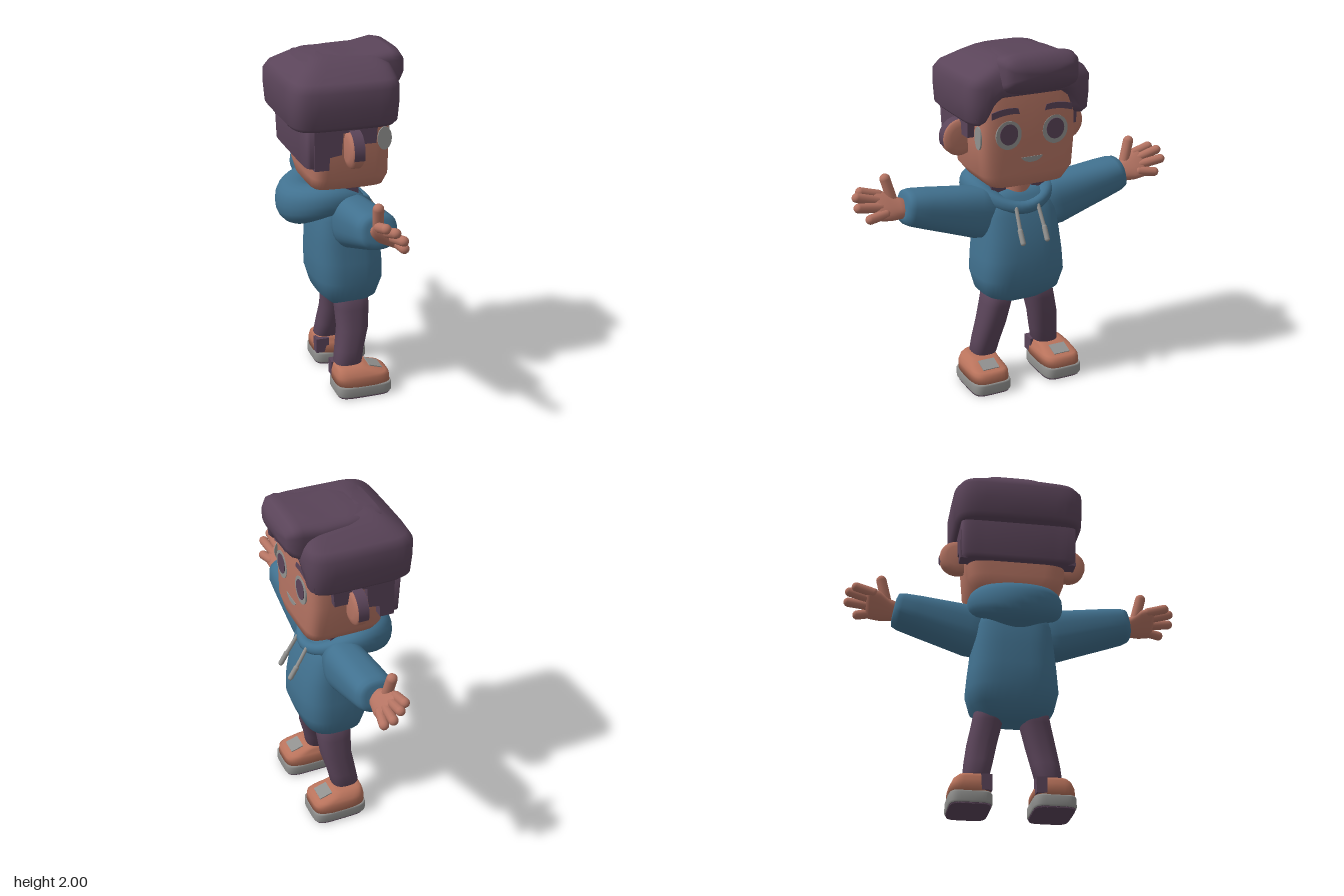
import * as THREE from 'three';

const mat = (name, color, side = THREE.FrontSide) => {
  const m = new THREE.MeshStandardMaterial({ color, side });
  m.name = name;
  return m;
};

// Skin over superellipse sections: each is [centre, halfVectorU, halfVectorV].
function loft(sections, n = 2, closed = false, seg = 40) {
  const v = (a) => new THREE.Vector3(...a);
  const S = sections.map((s) => s.map(v));
  const along = S[closed ? 1 : S.length - 1][0].clone().sub(S[0][0]);
  const flip = S[0][1].clone().cross(S[0][2]).dot(along) < 0 ? -1 : 1;
  const pow = (c) => Math.sign(c) * Math.abs(c) ** (2 / n);
  const pos = [], idx = [];
  for (const [c, u, w] of S) {
    for (let j = 0; j < seg; j++) {
      const t = (j / seg) * Math.PI * 2;
      const p = c.clone().addScaledVector(u, pow(Math.cos(t))).addScaledVector(w, flip * pow(Math.sin(t)));
      pos.push(p.x, p.y, p.z);
    }
  }
  const rows = S.length;
  for (let i = 0; i < (closed ? rows : rows - 1); i++) {
    for (let j = 0; j < seg; j++) {
      const k = (j + 1) % seg, a = i * seg, b = ((i + 1) % rows) * seg;
      idx.push(a + j, a + k, b + k, a + j, b + k, b + j);
    }
  }
  if (!closed) {
    const e = (rows - 1) * seg, c0 = rows * seg;
    for (const s of [S[0], S[rows - 1]]) pos.push(s[0].x, s[0].y, s[0].z);
    for (let j = 0; j < seg; j++) {
      const k = (j + 1) % seg;
      idx.push(c0, k, j, c0 + 1, e + j, e + k);
    }
  }
  const g = new THREE.BufferGeometry();
  g.setAttribute('position', new THREE.Float32BufferAttribute(pos, 3));
  g.setIndex(idx);
  g.computeVertexNormals();
  return g;
}

// Upright stack of sections: [y, halfWidth, zBack, zFront, xCentre].
const stack = (rows, n) => loft(rows.map(([y, hx, z0, z1, x = 0]) =>
  [[x, y, (z0 + z1) / 2], [hx, 0, 0], [0, 0, -(z1 - z0) / 2]]), n);

export function createModel() {
  const skin = mat('skin', 0xb57463);
  const shoe = mat('shoe coral', 0xb9735c);
  const plum = mat('plum', 0x5a4459);
  const blue = mat('hoodie blue', 0x41718f);
  const grey = mat('light grey', 0x929290);

  const body = new THREE.Group();
  body.name = 'character';
  const add = (name, geo, material, p = [0, 0, 0]) => {
    const m = new THREE.Mesh(geo, material);
    m.name = name;
    m.position.set(...p);
    body.add(m);
    return m;
  };
  const capsule = (name, a, b, r, material) => {
    const A = new THREE.Vector3(...a), B = new THREE.Vector3(...b);
    const d = B.clone().sub(A);
    const m = add(name, new THREE.CapsuleGeometry(r, d.length(), 5, 12), material);
    m.position.copy(A).add(B).multiplyScalar(0.5);
    m.quaternion.setFromUnitVectors(new THREE.Vector3(0, 1, 0), d.normalize());
  };
  const plate = (shape, depth = 0.008) => new THREE.ExtrudeGeometry(shape, { depth, bevelEnabled: false, curveSegments: 20 });
  const ellipse = (rx, ry) => new THREE.Shape().absellipse(0, 0, rx, ry, 0, Math.PI * 2);

  // Head and neck
  add('head', stack([[1.235, 0.19, -0.15, 0.19], [1.25, 0.225, -0.19, 0.225], [1.32, 0.28, -0.205, 0.24],
    [1.5, 0.295, -0.21, 0.24], [1.76, 0.29, -0.21, 0.24], [1.8, 0.25, -0.18, 0.21]], 6), skin);
  add('neck', new THREE.CylinderGeometry(0.08, 0.09, 0.2, 24), skin, [0, 1.17, 0.03]);

  // Hair cap, raised over the forehead
  const cap = stack([[1.62, 0.345, -0.32, 0.255], [1.645, 0.37, -0.34, 0.272], [1.74, 0.375, -0.348, 0.28],
    [1.83, 0.375, -0.348, 0.28], [1.875, 0.345, -0.32, 0.27], [1.93, 0.25, -0.24, 0.25],
    [1.965, 0.18, -0.18, 0.2], [1.97, 0.1, -0.1, 0.1]], 6);
  const cp = cap.attributes.position;
  for (let i = 0; i < cp.count; i++) {
    if (cp.getZ(i) < 0.15) continue;
    const lift = 1 - THREE.MathUtils.smoothstep(Math.abs(cp.getX(i)), 0.2, 0.31);
    const y = cp.getY(i);
    if (y < 1.83) cp.setY(i, y + (1.83 - y) * 0.72 * lift);
  }
  cap.computeVertexNormals();
  add('hairCap', cap, plum);

  // Swept quiff: [z, bottom, top, halfWidth]
  add('quiff', loft([[-0.26, 1.82, 1.9, 0.1], [-0.2, 1.78, 1.965, 0.18], [0, 1.77, 1.975, 0.21],
    [0.15, 1.77, 1.978, 0.22], [0.26, 1.775, 2, 0.225], [0.31, 1.8, 1.99, 0.215],
    [0.34, 1.84, 1.95, 0.18], [0.35, 1.87, 1.92, 0.1]].map(([z, b, t, hx]) =>
    [[0.025, (b + t) / 2, z], [hx, 0, 0], [0, (t - b) / 2, 0]]), 4.5), plum);

  // Hair below the cap
  add('backHair', stack([[1.4, 0.29, -0.24, -0.15], [1.415, 0.325, -0.265, -0.14],
    [1.68, 0.335, -0.275, -0.14]], 7), plum);
  const side = new THREE.Shape([[-0.22, 1.4], [-0.14, 1.4], [-0.135, 1.47], [-0.07, 1.48], [-0.06, 1.6],
    [0.04, 1.6], [0.05, 1.53], [0.125, 1.53], [0.135, 1.65], [0.24, 1.66], [0.24, 1.72], [-0.22, 1.72]]
    .map(([z, y]) => new THREE.Vector2(-z, y)));

  // Face
  const mouth = new THREE.Shape();
  mouth.moveTo(-0.065, 0.017).lineTo(0.065, 0.017);
  mouth.bezierCurveTo(0.045, -0.025, -0.045, -0.025, -0.065, 0.017);
  add('mouth', plate(mouth), grey, [0, 1.397, 0.235]);
  add('cheekPatch', plate(ellipse(0.04, 0.065)), grey, [-0.299, 1.54, 0.185]).rotation.y = Math.PI / 2;

  // Torso and hood
  add('hoodieBody', stack([[0.5, 0.1, -0.02, 0.1], [0.52, 0.165, -0.07, 0.14], [0.58, 0.235, -0.13, 0.21],
    [0.68, 0.26, -0.16, 0.243], [0.8, 0.25, -0.163, 0.24], [0.92, 0.237, -0.16, 0.222],
    [1.05, 0.225, -0.15, 0.185], [1.15, 0.2, -0.12, 0.14], [1.18, 0.12, -0.06, 0.09]], 3.2), blue);
  const hood = [];
  for (let i = 0; i < 40; i++) {
    const t = (i / 40) * Math.PI * 2, s = Math.sin(t), c = Math.cos(t);
    const r = 0.035 + 0.085 * ((1 - c) / 2) ** 1.3;
    hood.push([[0.2 * s, 1.105 - 0.015 * c + 0.07 * s * s, -0.03 + 0.195 * c], [r * s, 0, r * c], [0, r, 0]]);
  }
  add('hood', loft(hood, 2.3, true, 20), blue);

  for (const s of [-1, 1]) {
    // Ear with a hair-coloured rim
    add('ear', loft([[-0.045, 0.06], [-0.036, 0.09], [-0.02, 0.1], [0.02, 0.1], [0.033, 0.09], [0.04, 0.06]]
      .map(([z, r]) => [[s * 0.33, 1.505, z], [r, 0, 0], [0, r * 1.04, 0]])), skin);
    const rim = new THREE.CylinderGeometry(0.103, 0.103, 0.06, 20, 1, true, s > 0 ? 1.2 : Math.PI, 1.94);
    rim.rotateX(Math.PI / 2).scale(1, 1.04, 1);
    add('earRim', rim, plum, [s * 0.33, 1.505, 0]);
    add('sideHair', plate(side, 0.055), plum, [s * 0.305 - 0.0275, 0, 0]).rotation.y = Math.PI / 2;

    // Eye and brow
    add('eyeWhite', plate(ellipse(0.076, 0.08)), grey, [s * 0.14, 1.55, 0.234]);
    add('iris', plate(ellipse(0.053, 0.058)), plum, [s * 0.14, 1.555, 0.238]);
    const brow = new THREE.Shape();
    brow.moveTo(-0.08, -0.012).lineTo(-0.07, 0.02).quadraticCurveTo(0, 0.036, 0.085, 0.008);
    brow.lineTo(0.085, -0.028).quadraticCurveTo(0, 0, -0.08, -0.012);
    const b = plate(brow);
    if (s < 0) b.rotateY(Math.PI);
    add('brow', b, plum, [s * 0.155, 1.675, s > 0 ? 0.235 : 0.243]);

    // Shirt collar and drawstring
    add('collar', new THREE.BoxGeometry(0.09, 0.07, 0.12), plum, [s * 0.125, 1.195, 0.02]);
    capsule('drawstring', [s * 0.068, 1.1, 0.185], [s * 0.075, 0.98, 0.255], 0.011, grey);
    capsule('drawstringTip', [s * 0.075, 0.99, 0.25], [s * 0.075, 0.93, 0.285], 0.015, grey);

    // Sleeve: [x, y, half height, half depth]
    add('sleeve', loft([[0.14, 1.04, 0.14, 0.11], [0.25, 1.06, 0.145, 0.118], [0.4, 1.095, 0.127, 0.118],
      [0.55, 1.13, 0.11, 0.116], [0.64, 1.15, 0.098, 0.112], [0.672, 1.157, 0.088, 0.1], [0.68, 1.16, 0.06, 0.07]]
      .map(([x, y, h, d]) => [[s * x, y, 0.025], [0, 0, d], [-s * 0.2 * h, h, 0]]), 2.5), blue);

    // Hand, palm tilted forward
    add('palm', loft([[0.64, 1.145, 0.05, 0.045], [0.7, 1.155, 0.062, 0.04], [0.76, 1.175, 0.085, 0.035],
      [0.82, 1.19, 0.092, 0.03], [0.84, 1.195, 0.07, 0.02]]
      .map(([x, y, w, d]) => [[s * x, y, 0.025], [0, w * 0.75, -w * 0.66], [0, d * 0.66, d * 0.75]]), 2.4), skin);
    const fingers = [[0.8, 1.235, -0.02, 0.9, 1.265, -0.02], [0.81, 1.21, 0.01, 0.935, 1.25, 0.02],
      [0.81, 1.18, 0.04, 0.94, 1.205, 0.06], [0.79, 1.15, 0.065, 0.885, 1.14, 0.085]];
    for (const [x0, y0, z0, x1, y1, z1] of fingers)
      capsule('finger', [s * x0, y0, z0], [s * x1, y1, z1], 0.027, skin);
    capsule('thumb', [s * 0.725, 1.19, 0], [s * 0.76, 1.32, -0.012], 0.03, skin);

    // Trouser leg
    add('leg', stack([[0.12, 0.045, -0.05, 0.05, s * 0.195], [0.17, 0.055, -0.06, 0.07, s * 0.2],
      [0.18, 0.073, -0.072, 0.09, s * 0.2], [0.26, 0.079, -0.06, 0.105, s * 0.187],
      [0.38, 0.083, -0.042, 0.138, s * 0.165], [0.5, 0.085, -0.048, 0.15, s * 0.138],
      [0.6, 0.085, -0.05, 0.15, s * 0.12]], 2.5), plum);

    // Shoe
    const x = s * 0.23;
    add('soleBottom', stack([[0, 0.112, -0.075, 0.235, x], [0.008, 0.115, -0.08, 0.24, x]], 5), plum);
    add('sole', stack([[0.006, 0.113, -0.078, 0.238, x], [0.018, 0.121, -0.086, 0.245, x],
      [0.065, 0.121, -0.086, 0.245, x], [0.075, 0.115, -0.08, 0.24, x]], 5), grey);
    add('shoeUpper', stack([[0.07, 0.117, -0.082, 0.24, x], [0.12, 0.114, -0.082, 0.235, x],
      [0.135, 0.106, -0.08, 0.215, x], [0.155, 0.095, -0.075, 0.15, x], [0.172, 0.08, -0.068, 0.1, x - s * 0.01],
      [0.175, 0.06, -0.05, 0.08, x - s * 0.01]], 4), shoe);
    add('tongue', new THREE.BoxGeometry(0.1, 0.008, 0.08), grey, [x, 0.155, 0.155]).rotation.x = 0.31;
    add('heelTab', new THREE.BoxGeometry(0.06, 0.09, 0.08), plum, [s * 0.15, 0.125, -0.04]);
  }

  // Turn the figure to look along +x
  body.rotation.y = Math.PI / 2;
  const root = new THREE.Group();
  root.name = 'hoodieFigure';
  root.add(body);
  return root;
}
